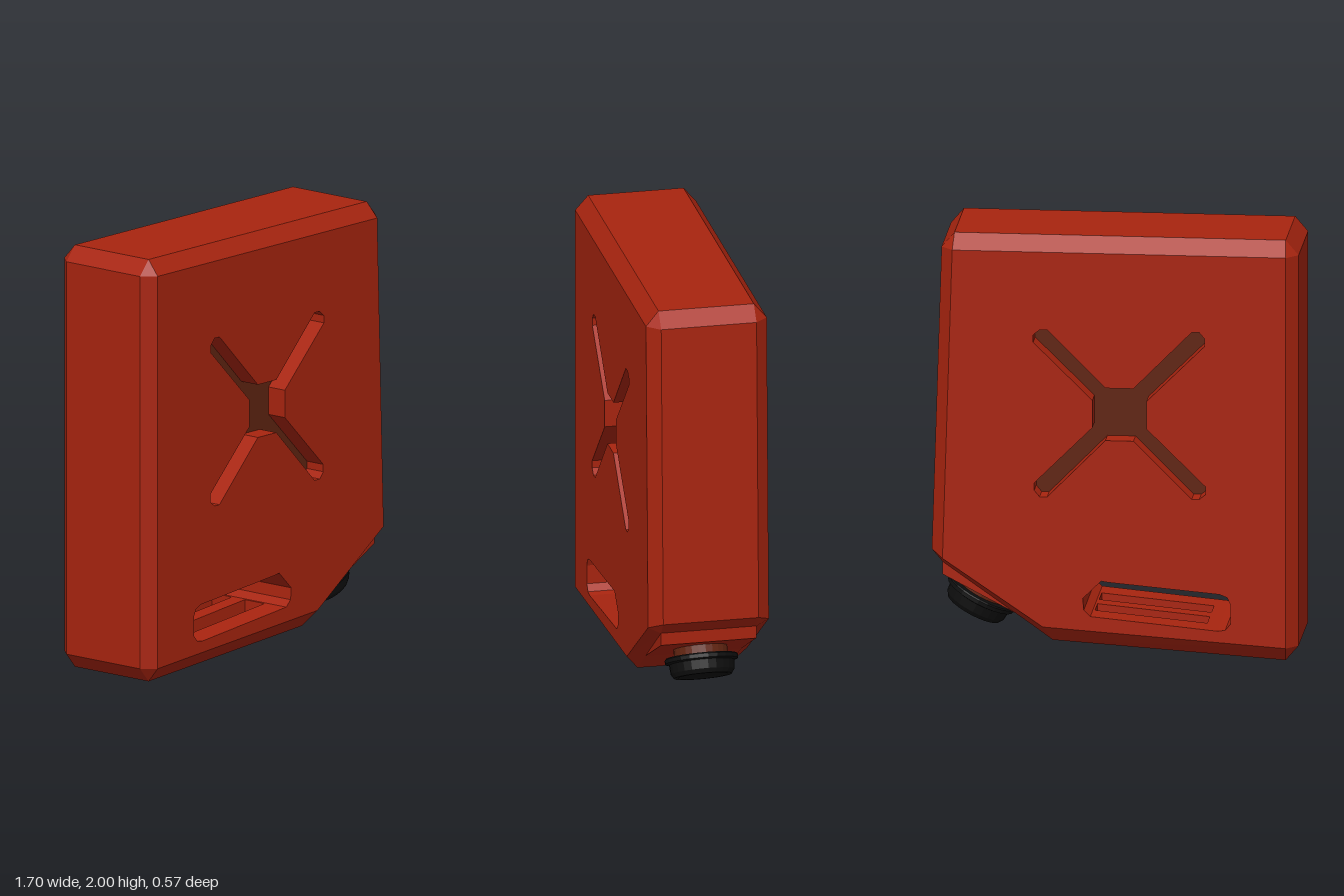
import * as THREE from 'three';

const FRONT = 0.285, RIM = 0.225, FLOOR = 0.185;
const v2 = ([x, y]) => new THREE.Vector2(x, y);

// Faceted surface builder: every triangle is mirrored across z = 0
function mirroredSurface() {
  const pos = [];
  const tri = (a, b, c) => {
    pos.push(...a, ...b, ...c);
    for (const p of [a, c, b]) pos.push(p[0], p[1], -p[2]);
  };
  const quad = (a, b, c, d) => { tri(a, b, c); tri(a, c, d); };
  // wall below the line p-q, from depth z0 to depth z1
  const wall = (p, q, z0, z1) => quad([...p, z0], [...q, z0], [...q, z1], [...p, z1]);
  const face = (outline, holes, z) => {
    const all = [outline, ...holes].flat();
    for (const f of THREE.ShapeUtils.triangulateShape(outline.map(v2), holes.map(h => h.map(v2))))
      tri(...f.map(i => [...all[i], z]));
  };
  const build = () => {
    const g = new THREE.BufferGeometry();
    g.setAttribute('position', new THREE.Float32BufferAttribute(pos, 3));
    g.computeVertexNormals();
    return g;
  };
  return { tri, quad, wall, face, build };
}

export function createModel() {
  const red = new THREE.MeshStandardMaterial({ color: 0xa8240f });
  red.name = 'red paint';
  const brown = new THREE.MeshStandardMaterial({ color: 0x602411 });
  brown.name = 'dark brown';
  const black = new THREE.MeshStandardMaterial({ color: 0x0e0e0e });
  black.name = 'black cap';

  const group = new THREE.Group();
  const add = (name, geometry, material) => {
    const m = new THREE.Mesh(geometry, material);
    m.name = name;
    group.add(m);
    return m;
  };

  // Flat face outline, and the rim with two points per chamfered corner
  const inner = [[-0.795, 0.07], [0.33, 0.145], [0.795, 0.46], [0.75, 1.93], [-0.795, 1.93]];
  const rim = [[-0.85, 0.07], [-0.79, 0], [0.29, 0.07], [0.38, 0.135], [0.8, 0.43], [0.85, 0.49],
    [0.805, 1.93], [0.745, 2], [-0.79, 2], [-0.85, 1.93]];

  // Handle opening; its first edge is the floor above the grip
  const handle = [[-0.48, 0.145], [0.11, 0.2], [0.14, 0.23], [0.145, 0.285], [0.06, 0.37],
    [0.03, 0.365], [-0.49, 0.32], [-0.525, 0.305], [-0.54, 0.27], [-0.54, 0.18], [-0.515, 0.15]];

  // Cross-shaped recess: one arm turned four times
  const arm = [[0.125, 0.065], [0.4, 0.335], [0.4, 0.37], [0.37, 0.395], [0.335, 0.395], [0.065, 0.125]];
  const cross = [];
  for (let k = 0; k < 4; k++) {
    const c = [1, 0, -1, 0][k], s = [0, 1, 0, -1][k];
    for (const [x, y] of arm) cross.push([-0.025 + c * x - s * y, 1.165 + s * x + c * y]);
  }

  // Body shell
  const s = mirroredSurface();
  s.face(inner, [handle, cross], FRONT);
  inner.forEach((p, i) => {
    const q = inner[(i + 1) % 5];
    const a = rim[2 * i], b = rim[2 * i + 1], c = rim[(2 * i + 2) % 10];
    s.tri([...p, FRONT], [...a, RIM], [...b, RIM]);
    s.quad([...p, FRONT], [...b, RIM], [...c, RIM], [...q, FRONT]);
  });
  rim.forEach((p, i) => { if (i !== 1) s.wall(p, rim[(i + 1) % 10], 0, RIM); });
  cross.forEach((p, i) => s.wall(cross[(i + 1) % cross.length], p, FLOOR, FRONT));
  handle.forEach((p, i) => { if (i) s.wall(handle[(i + 1) % handle.length], p, 0, FRONT); });

  // Grip: two slots run from the underside into the handle opening
  const x0 = -0.42, x1 = 0.1, z0 = 0.04, z1 = 0.16;
  const at = (p, q, x) => [x, p[1] + (q[1] - p[1]) * (x - p[0]) / (q[0] - p[0])];
  const slotted = (p, q, depth, up) => {
    const strip = (a, b, za, zb) => up ? s.wall(b, a, za, zb) : s.wall(a, b, za, zb);
    strip(p, q, 0, z0);
    strip(p, q, z1, depth);
    strip(p, at(p, q, x0), z0, z1);
    strip(at(p, q, x1), q, z0, z1);
  };
  slotted(rim[1], rim[2], RIM, false);
  slotted(handle[0], handle[1], FRONT, true);
  const lo0 = at(rim[1], rim[2], x0), lo1 = at(rim[1], rim[2], x1);
  const hi0 = at(handle[0], handle[1], x0), hi1 = at(handle[0], handle[1], x1);
  s.wall(lo0, hi0, z0, z1);
  s.wall(hi1, lo1, z0, z1);
  s.quad([...lo0, z0], [...lo1, z0], [...hi1, z0], [...hi0, z0]);
  s.quad([...lo0, z1], [...hi0, z1], [...hi1, z1], [...lo1, z1]);
  add('body', s.build(), red);

  // Recess floors
  const f = mirroredSurface();
  f.face(cross, [], FLOOR);
  add('crossRecessFloor', f.build(), brown);

  // Wedge that carries the spout
  const wedge = new THREE.ExtrudeGeometry(
    new THREE.Shape([[0.38, 0.14], [0.41, 0.165], [0.8, 0.37], [0.8, 0.435], [0.72, 0.42]].map(v2)),
    { depth: 2 * RIM, bevelEnabled: false });
  wedge.translate(0, 0, -RIM);
  add('spoutBase', wedge, red);

  // Neck and screw cap, turned about the spout axis
  const axis = new THREE.Vector3(0.46, -0.888, 0).normalize();
  const turned = (name, profile, material) => {
    let g = new THREE.LatheGeometry(profile.map(v2), 24).toNonIndexed();
    g.computeVertexNormals();
    const m = add(name, g, material);
    m.position.set(0.615, 0.275, 0);
    m.quaternion.setFromUnitVectors(new THREE.Vector3(0, 1, 0), axis);
  };
  turned('neck', [[0.125, -0.02], [0.125, 0.05]], brown);
  turned('cap', [[0, 0.042], [0.165, 0.042], [0.17, 0.048], [0.17, 0.066], [0.152, 0.072],
    [0.148, 0.115], [0.135, 0.135], [0.115, 0.135], [0.105, 0.13], [0, 0.13]], black);

  return group;
}
